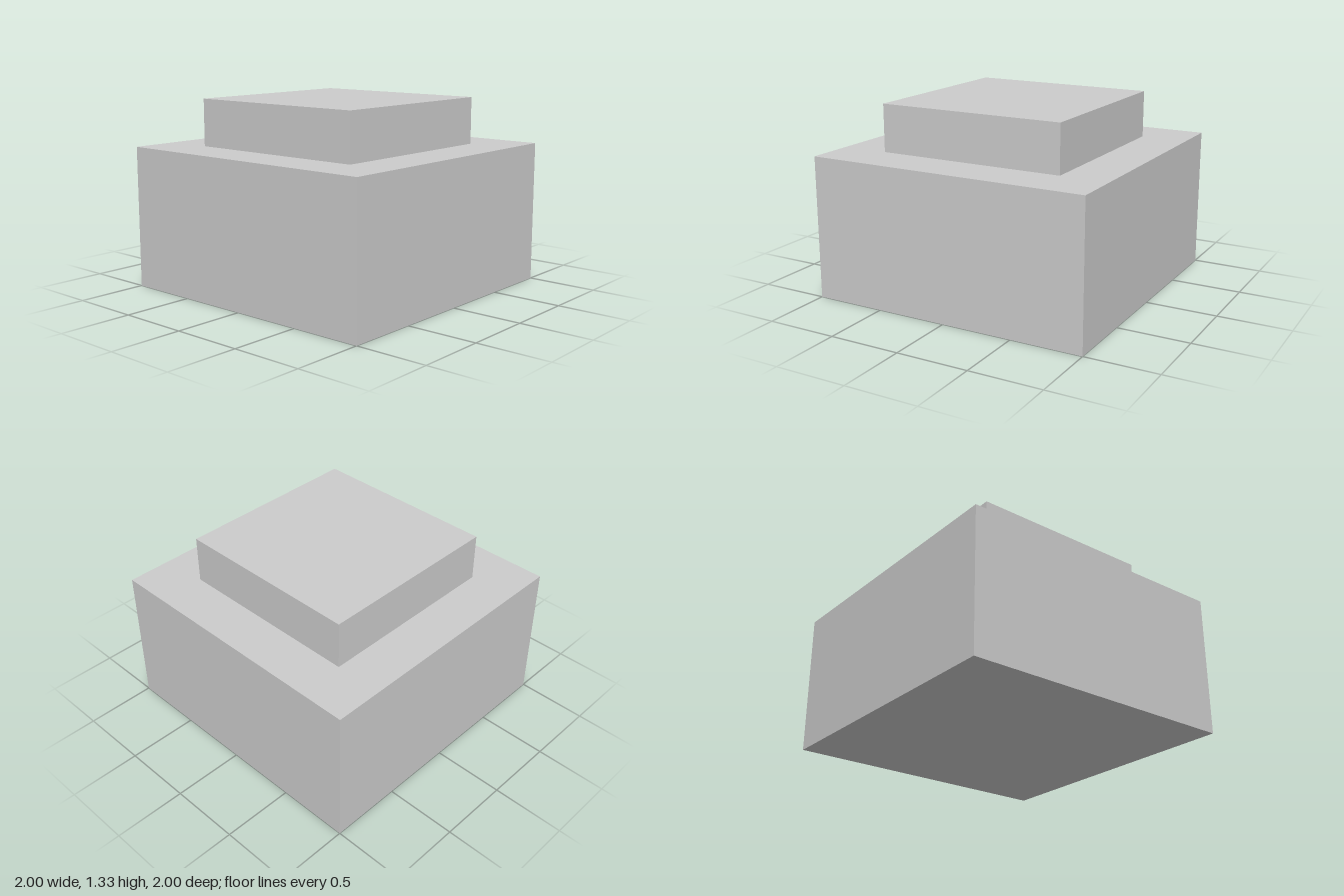
import * as THREE from 'three';

export function createModel() {
  const group = new THREE.Group();
  group.name = 'steppedBlock';
  const material = new THREE.MeshStandardMaterial({ color: 0xcccccc });

  // Square block resting on the given height
  const addBlock = (name, width, height, bottom) => {
    const mesh = new THREE.Mesh(new THREE.BoxGeometry(width, height, width), material);
    mesh.name = name;
    mesh.position.y = bottom + height / 2;
    group.add(mesh);
  };

  // Wide lower block
  addBlock('base', 2, 1, 0);
  // Narrower slab on top
  addBlock('upperStep', 4 / 3, 1 / 3, 1);

  return group;
}
